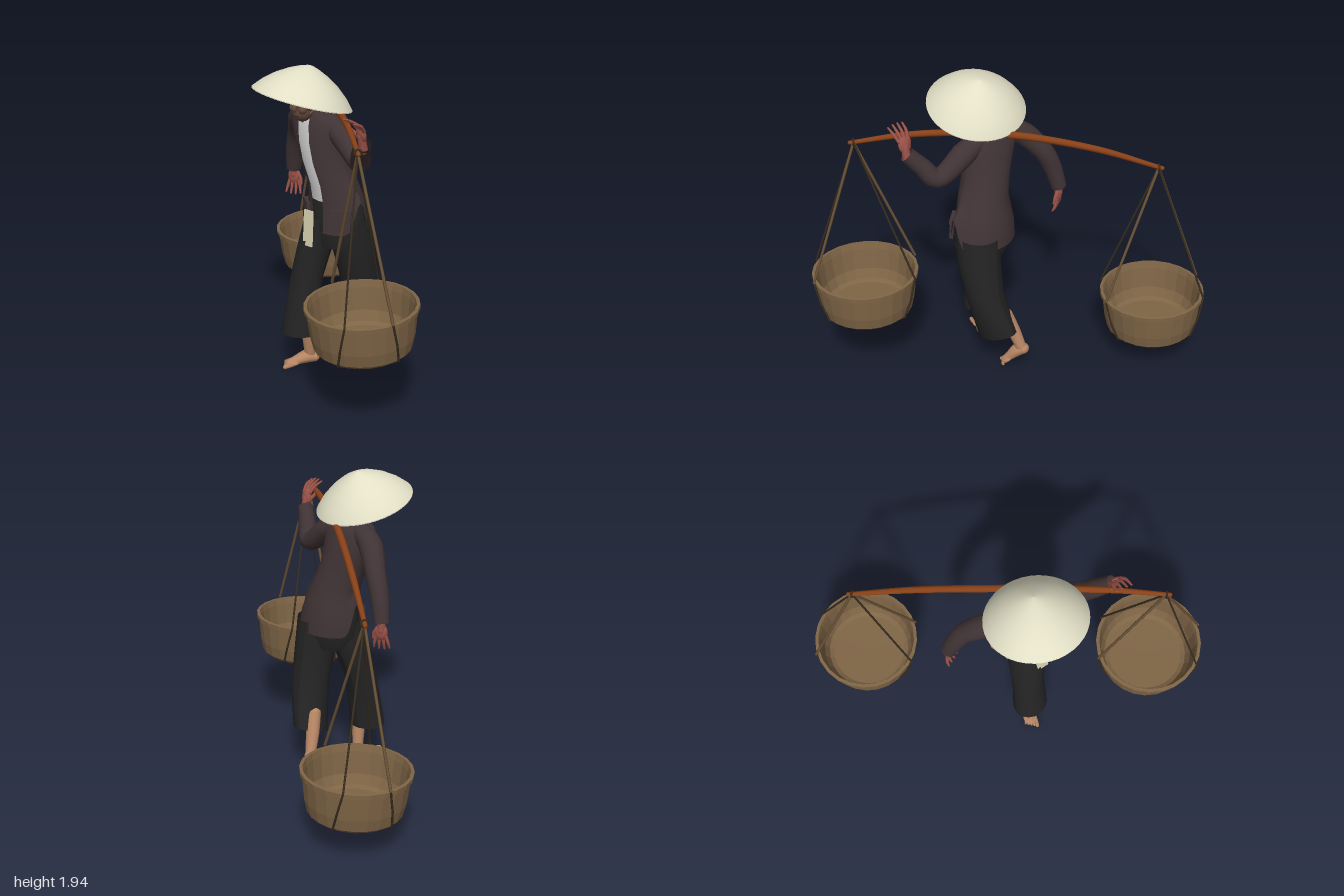
import * as THREE from 'three';
import { mergeGeometries } from 'three/addons/utils/BufferGeometryUtils.js';

const V = (x, y, z) => new THREE.Vector3(x, y, z);
const mat = (color, flatShading = false) =>
  new THREE.MeshStandardMaterial({ color, flatShading, side: THREE.DoubleSide });
const M = {
  jacket: mat(0x403335), trousers: mat(0x242424), shirt: mat(0xbcbcbc), hat: mat(0xe2dfc6),
  hand: mat(0x9a5248), foot: mat(0xb58564), face: mat(0x62483a), hair: mat(0x17130f),
  basket: mat(0x7f6546, true), pole: mat(0x8a4218), rope: mat(0x6b5338), cord: mat(0x382d20),
  pouch: mat(0xd8d4b4), lips: mat(0x55332c), strap: mat(0x77735f),
};

function add(parent, name, geometry, material) {
  const mesh = new THREE.Mesh(geometry, material);
  mesh.name = name;
  parent.add(mesh);
  return mesh;
}

// Round tube through points with a varying radius and rounded ends
function sweep(points, radii, { seg = 12, n = 20, caps = true } = {}) {
  const curve = new THREE.CatmullRomCurve3(points.map((p) => V(...p)));
  const g = new THREE.TubeGeometry(curve, n, 1, seg);
  const pos = g.attributes.position, p = V(0, 0, 0);
  for (let i = 0; i <= n; i++) {
    const t = (i / n) * (radii.length - 1), k = Math.min(Math.floor(t), radii.length - 2);
    const r = THREE.MathUtils.lerp(radii[k], radii[k + 1], t - k), c = curve.getPointAt(i / n);
    for (let j = 0; j <= seg; j++) {
      const id = i * (seg + 1) + j;
      p.fromBufferAttribute(pos, id).sub(c).multiplyScalar(r).add(c);
      pos.setXYZ(id, p.x, p.y, p.z);
    }
  }
  if (!caps) return g;
  const ball = (q, r) => new THREE.SphereGeometry(r, seg, 8).translate(...q);
  return mergeGeometries([g, ball(points[0], radii[0]), ball(points.at(-1), radii.at(-1))]);
}

// Surface through elliptical rings [x, y, z, rx, rz, tilt]; gap(ring) leaves the front open
function loft(rings, { seg = 28, yaw = 0, gap = null, arc = null, yFn = (y) => y } = {}) {
  const pos = [], idx = [], c = Math.cos(yaw), s = Math.sin(yaw);
  rings.forEach((ring, i) => {
    const [x, y, z, rx, rz, tilt = 0] = ring;
    const half = arc ?? (gap ? Math.PI - gap(ring) : Math.PI);
    const mid = gap ? -Math.PI / 2 : Math.PI / 2;
    for (let j = 0; j <= seg; j++) {
      const a = mid + half * ((2 * j) / seg - 1);
      const u = rx * Math.cos(a), v = rz * Math.sin(a), dz = u * s + v * c;
      pos.push(x + u * c - v * s, yFn(y, a) - tilt * dz, z + dz);
      if (i && j) {
        const q = i * (seg + 1) + j, b = q - seg - 1;
        idx.push(b - 1, q - 1, b, b, q - 1, q);
      }
    }
  });
  const g = new THREE.BufferGeometry();
  g.setAttribute('position', new THREE.Float32BufferAttribute(pos, 3));
  g.setIndex(idx);
  g.computeVertexNormals();
  return g;
}

function rod(parent, name, a, b, r, material) {
  const d = b.clone().sub(a);
  const m = add(parent, name, new THREE.CylinderGeometry(r, r, d.length(), 6), material);
  m.position.copy(a).addScaledVector(d, 0.5);
  m.quaternion.setFromUnitVectors(V(0, 1, 0), d.normalize());
}

// Hand with fingers along -y, bending toward z by curl
function hand(name, curl, thumbSide) {
  const g = new THREE.Group();
  g.name = name;
  add(g, 'palm', new THREE.SphereGeometry(1, 14, 10).scale(0.04, 0.052, 0.021).translate(0, -0.052, 0), M.hand);
  add(g, 'wrist', sweep([[0, 0.05, 0], [0, 0, 0], [0, -0.04, 0]], [0.028, 0.025, 0.026]), M.hand);
  for (let i = 0; i < 4; i++) {
    const x = (i - 1.5) * 0.02, l = 0.17 - 0.008 * Math.abs(i - 1.5);
    add(g, 'finger', sweep([[x, -0.08, 0], [x * 1.4, -0.125, curl * 0.35], [x * 1.6, -l, curl]],
      [0.011, 0.01, 0.006], { seg: 7, n: 8 }), M.hand);
  }
  add(g, 'thumb', sweep([[0.025, -0.03, 0], [0.045, -0.065, curl * 0.3], [0.052, -0.1, curl * 0.6]]
    .map(([x, y, z]) => [x * thumbSide, y, z]), [0.014, 0.012, 0.007], { seg: 7, n: 8 }), M.hand);
  return g;
}

// Bare foot with its heel at the origin, toes toward +z
function foot(name, side) {
  const g = new THREE.Group();
  g.name = name;
  add(g, 'sole', sweep([[0, 0.034, -0.025], [0, 0.042, 0.03], [0, 0.03, 0.09], [0, 0.021, 0.145]],
    [0.034, 0.04, 0.03, 0.02]).scale(1.2, 1, 1), M.foot);
  add(g, 'ball', new THREE.SphereGeometry(1, 14, 10).scale(0.046, 0.02, 0.05).translate(0, 0.02, 0.12), M.foot);
  for (let i = 0; i < 5; i++) {
    const x = side * (i - 2) * 0.018, z = 0.185 - i * 0.008, r = i ? 0.009 : 0.013;
    add(g, 'toe', sweep([[x * 0.9, 0.018, 0.13], [x, 0.016, 0.16], [x, r, z]], [r, r, r], { seg: 7, n: 6 }), M.foot);
  }
  return g;
}

// Basket with the slings that hang it from the pole end
function hangingBasket(name, x, y, z, hook) {
  const g = new THREE.Group();
  g.name = name;
  g.position.set(x, y, z);
  g.rotation.set(0.035, 0, 0.02);
  const profile = [[0, 0], [0.255, 0], [0.285, 0.025], [0.302, 0.1], [0.318, 0.245], [0.33, 0.25], [0.332, 0.278],
    [0.312, 0.28], [0.303, 0.24], [0.288, 0.1], [0.262, 0.04], [0.235, 0.025], [0, 0.022]];
  add(g, 'bowl', new THREE.LatheGeometry(profile.map((p) => new THREE.Vector2(...p)), 24), M.basket);
  g.updateMatrix();
  const top = hook.clone().applyMatrix4(g.matrix.clone().invert());
  const at = (r, a, h) => V(r * Math.cos(a), h, r * Math.sin(a));
  [0.42, 1.24, 0.42 + Math.PI, 1.24 + Math.PI].forEach((a, i, all) => {
    const m = i % 2 ? M.cord : M.rope, b = a + (i % 2 ? 0.22 : -0.22);
    const path = [top, at(0.338, a, 0.283), at(0.32, (a + b) / 2, 0.14), at(0.289, b, 0.022), at(0.25, b, -0.004), V(0, -0.005, 0)];
    for (let k = 1; k < path.length; k++) rod(g, 'sling', path[k - 1], path[k], k > 1 || i % 2 ? 0.0065 : 0.009, k > 1 ? M.cord : m);
    const nx = all[(i + 1) % 4] + (i % 2 ? -0.22 : 0.22);
    rod(g, 'bottomCord', at(0.25, b, -0.004), at(0.25, nx, -0.004), 0.005, M.cord);
  });
  return g;
}

function createModel() {
  const model = new THREE.Group();
  model.name = 'basketCarrier';

  // Carrying pole and its two loads
  const ends = [V(-0.655, 1.385, -0.63), V(0.605, 1.645, 0.7)];
  add(model, 'pole', sweep([[-0.67, 1.378, -0.645], [-0.4, 1.525, -0.35], [-0.08, 1.637, 0], [0.13, 1.672, 0.22],
    [0.38, 1.68, 0.47], [0.62, 1.643, 0.715]], [0.014, 0.021, 0.023, 0.023, 0.02, 0.013], { seg: 8, n: 32 }), M.pole);
  model.add(hangingBasket('rearBasket', -0.625, 0.212, -0.665, ends[0]));
  model.add(hangingBasket('frontBasket', 0.62, 0.46, 0.658, ends[1]));
  ends.forEach((p) => {
    const loop = add(model, 'poleLoop', new THREE.TorusGeometry(0.019, 0.007, 6, 14), M.cord);
    loop.position.copy(p);
    loop.rotation.y = Math.PI / 4;
  });

  // Jacket with an open front and side slits, over a pale shirt
  const body = [[0.08, 0.94, 0.155, 0.213, 0.175], [0.072, 1.05, 0.152, 0.198, 0.165], [0.062, 1.14, 0.162, 0.176, 0.152],
    [0.048, 1.22, 0.175, 0.162, 0.143], [0, 1.36, 0.192, 0.155, 0.137], [-0.03, 1.48, 0.2, 0.178, 0.125],
    [-0.05, 1.58, 0.2, 0.195, 0.105], [-0.055, 1.63, 0.205, 0.15, 0.085], [-0.055, 1.655, 0.22, 0.075, 0.062]];
  const yaw = 0.2;
  const slitHem = (y, a) => {
    if (y > 1.25) return y;
    const d = Math.min(Math.abs(Math.atan2(Math.sin(a - 0.1), Math.cos(a - 0.1))), Math.abs(Math.atan2(Math.sin(a - 3.04), Math.cos(a - 3.04))));
    const hem = 0.93 + 0.2 * Math.exp(-((d / 0.28) ** 2));
    return hem + ((y - 0.94) / 0.31) * (1.25 - hem);
  };
  add(model, 'jacket', loft(body, { seg: 56, yaw, gap: (r) => Math.min(0.5, 0.046 / r[3]), yFn: slitHem }), M.jacket);
  add(model, 'shirt', loft(body.slice(2).map(([x, y, z, a, b]) => [x, y - 0.02, z, a * 0.96, b * 0.96]), { yaw, arc: 0.8 }), M.shirt);
  [[0.2, 0.295, 0.55], [-0.085, 0.255, -0.75]].forEach(([x, z, turn]) => {
    const pocket = add(model, 'pocket', new THREE.BoxGeometry(0.11, 0.12, 0.025), M.jacket);
    pocket.position.set(x, 1.01, z);
    pocket.rotation.set(-0.08, turn, 0, 'YXZ');
    const flap = add(pocket, 'pocketFlap', new THREE.BoxGeometry(0.12, 0.03, 0.035), M.jacket);
    flap.position.y = 0.06;
  });
  const pouch = add(model, 'pouch', new THREE.BoxGeometry(0.075, 0.22, 0.012), M.pouch);
  pouch.position.set(-0.015, 0.94, 0.335);
  pouch.rotation.set(-0.12, -0.2, 0.05);

  // Loose trousers
  add(model, 'trouserSeat', loft([[0.06, 1.2, 0.165, 0.14, 0.12], [0.07, 1.05, 0.155, 0.185, 0.15],
    [0.08, 0.92, 0.155, 0.195, 0.155], [0.085, 0.82, 0.16, 0.16, 0.13]], { yaw }), M.trousers);
  add(model, 'rightTrouserLeg', loft([[0, 1, 0.18, 0.115, 0.14], [-0.04, 0.8, 0.225, 0.1, 0.135], [-0.07, 0.6, 0.28, 0.102, 0.103],
    [-0.083, 0.4, 0.315, 0.11, 0.1], [-0.092, 0.235, 0.335, 0.117, 0.106]], { seg: 16 }), M.trousers);
  add(model, 'leftTrouserLeg', loft([[0.15, 1, 0.14, 0.135, 0.15], [0.165, 0.8, 0.115, 0.13, 0.14], [0.172, 0.6, 0.07, 0.122, 0.12],
    [0.155, 0.44, 0.035, 0.112, 0.125, 0.15], [0.127, 0.27, 0, 0.096, 0.133, 0.35]], { seg: 16 }), M.trousers);

  // Lower legs and feet: right one planted ahead, left one pushing off
  add(model, 'rightShin', sweep([[-0.045, 0.34, 0.31], [-0.05, 0.2, 0.295], [-0.058, 0.06, 0.275]], [0.046, 0.042, 0.033]), M.foot);
  add(model, 'leftShin', sweep([[0.085, 0.4, -0.03], [0.06, 0.28, -0.08], [0.045, 0.17, -0.125]], [0.048, 0.043, 0.034]), M.foot);
  const rf = foot('rightFoot', -1), lf = foot('leftFoot', 1);
  rf.position.set(-0.058, 0, 0.268);
  rf.rotation.y = -0.55;
  lf.position.set(0.035, 0.115, -0.14);
  lf.rotation.set(0.65, 0.45, 0, 'YXZ');
  model.add(rf, lf);

  // Sleeves and hands
  const sleeve = (name, pts) => {
    add(model, name, sweep(pts, [0.062, 0.075, 0.064, 0.058, 0.049], { caps: false }), M.jacket);
  };
  sleeve('rightSleeve', [[-0.13, 1.6, 0.17], [-0.235, 1.55, 0.11], [-0.34, 1.4, 0.01], [-0.39, 1.27, -0.025], [-0.42, 1.135, -0.05]]);
  sleeve('leftSleeve', [[0.03, 1.595, 0.2], [0.14, 1.545, 0.225], [0.33, 1.42, 0.295], [0.385, 1.5, 0.36], [0.445, 1.59, 0.425]]);
  const rh = hand('rightHand', 0.02, 1), lh = hand('leftHand', -0.07, -1);
  rh.position.set(-0.418, 1.13, -0.05);
  rh.rotation.y = 0.3;
  lh.position.set(0.445, 1.6, 0.43);
  lh.rotation.set(Math.PI + 0.2, 0.3, 0);
  model.add(rh, lh);

  // Head
  add(model, 'neck', sweep([[-0.055, 1.58, 0.215], [-0.052, 1.64, 0.245], [-0.05, 1.71, 0.285]], [0.058, 0.05, 0.052]), M.face);
  const head = new THREE.Group();
  head.name = 'head';
  head.position.set(-0.05, 1.725, 0.305);
  head.rotation.set(0.05, -0.08, 0);
  model.add(head);
  const blob = (name, m, x, y, z, rx, ry, rz) => add(head, name, new THREE.SphereGeometry(1, 20, 14).scale(rx, ry, rz).translate(x, y, z), m);
  blob('skull', M.face, 0, 0.02, 0, 0.08, 0.098, 0.095);
  blob('jaw', M.face, 0, -0.05, 0.028, 0.058, 0.066, 0.065);
  blob('hair', M.hair, 0, 0.035, -0.016, 0.086, 0.095, 0.095);
  blob('nose', M.face, 0, -0.022, 0.096, 0.014, 0.022, 0.018);
  blob('mouth', M.lips, 0, -0.064, 0.085, 0.024, 0.008, 0.01);
  for (const s of [-1, 1]) {
    blob('ear', M.face, s * 0.083, -0.008, 0, 0.012, 0.028, 0.018);
    blob('eye', M.hair, s * 0.031, 0.008, 0.084, 0.013, 0.006, 0.008);
    blob('cheek', M.face, s * 0.034, -0.03, 0.066, 0.027, 0.026, 0.025);
  }

  // Conical hat, tipped back, with its chin straps
  const hat = new THREE.Group();
  hat.name = 'hat';
  hat.position.set(-0.064, 1.74, 0.318);
  hat.quaternion.setFromUnitVectors(V(0, 1, 0), V(0.12, 1, -0.27).normalize());
  const cone = [[0.303, -0.004], [0.302, 0.004], [0.255, 0.058], [0.19, 0.113], [0.12, 0.157], [0.055, 0.187], [0.018, 0.199], [0, 0.202]];
  add(hat, 'hatCone', new THREE.LatheGeometry(cone.map((p) => new THREE.Vector2(...p)), 40), M.hat);
  const rim = add(hat, 'hatRim', new THREE.TorusGeometry(0.3, 0.004, 6, 40), M.hat);
  rim.rotation.x = Math.PI / 2;
  model.add(hat);
  for (const s of [-1, 1]) {
    add(model, 'chinStrap', sweep([[-0.055 + s * 0.16, 1.81 - s * 0.02, 0.31], [-0.05 + s * 0.085, 1.7, 0.325], [-0.05, 1.606, 0.335]],
      [0.005, 0.005, 0.005], { seg: 6 }), M.strap);
  }
  return model;
}

export { createModel };
